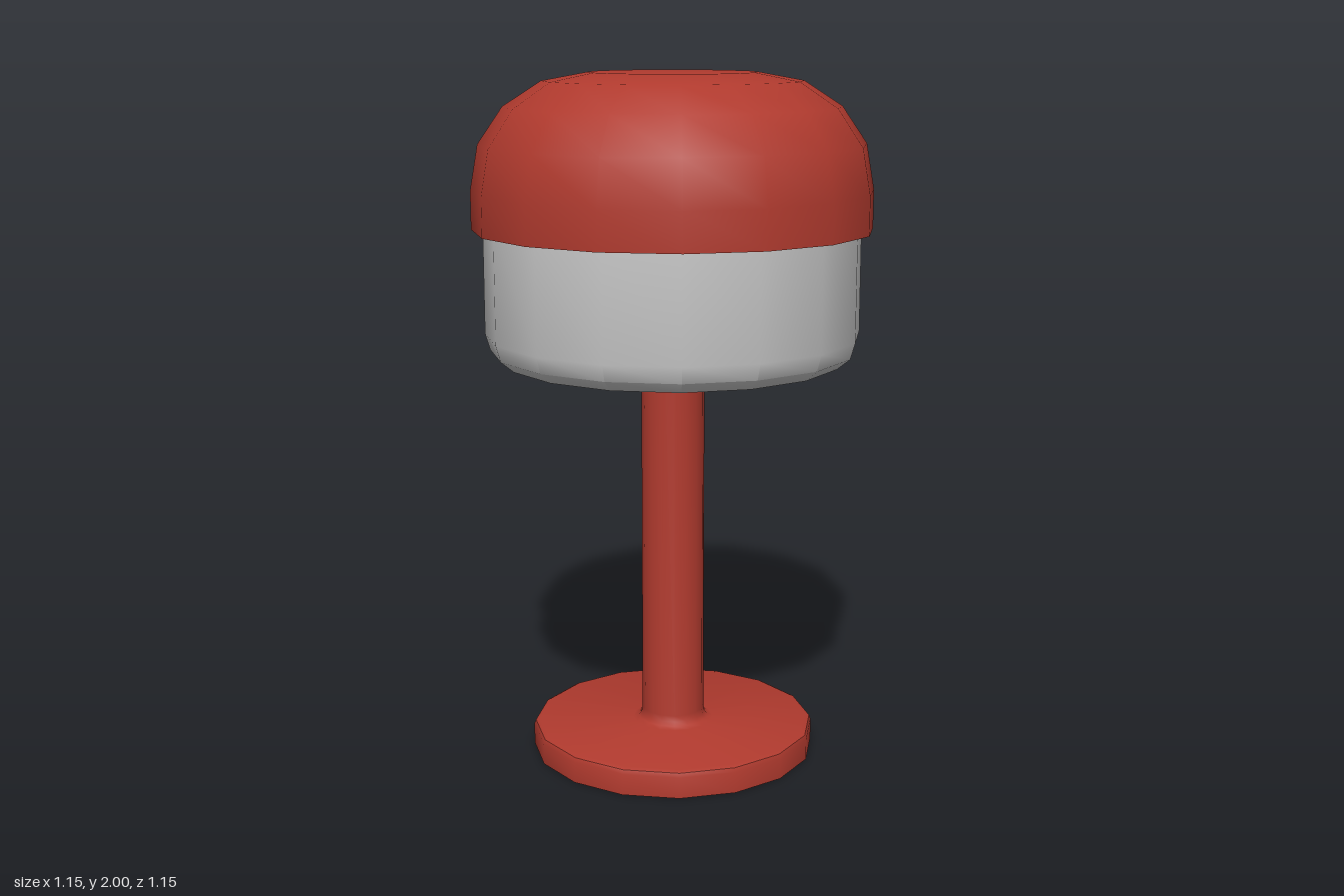
import * as THREE from 'three';
import { toCreasedNormals } from 'three/addons/utils/BufferGeometryUtils.js';

const SIDES = 16;
const red = new THREE.MeshStandardMaterial({ color: 0xb03a2e, side: THREE.DoubleSide });
const grey = new THREE.MeshStandardMaterial({ color: 0xcccccc, side: THREE.DoubleSide });

// Turned part from a profile of [radius, height] pairs, bottom to top
function turned(name, profile, material) {
  const points = profile.map(([r, y]) => new THREE.Vector2(r, y));
  const geometry = toCreasedNormals(new THREE.LatheGeometry(points, SIDES), 0.65);
  const mesh = new THREE.Mesh(geometry, material);
  mesh.name = name;
  return mesh;
}

export function createModel() {
  const lamp = new THREE.Group();
  lamp.name = 'tableLamp';

  // Round foot flowing through a small fillet into the hollow stem
  lamp.add(turned('baseAndStem', [
    [0.092, 0], [0.42, 0], [0.42, 0.062], [0.415, 0.074], [0.403, 0.08],
    [0.12, 0.08], [0.103, 0.086], [0.095, 0.097], [0.092, 0.115], [0.092, 1.5],
  ], red));

  // Open bowl with a rounded lower edge and a clearance hole around the stem
  lamp.add(turned('lowerShade', [
    [0.14, 1.17], [0.43, 1.17], [0.49, 1.182], [0.528, 1.213], [0.542, 1.26], [0.542, 1.6],
  ], grey));

  // Thin domed cap overhanging the bowl
  lamp.add(turned('domeCap', [
    [0.575, 1.56], [0.575, 1.67], [0.552, 1.8], [0.48, 1.905],
    [0.37, 1.976], [0.24, 2], [0, 2],
  ], red));

  return lamp;
}
